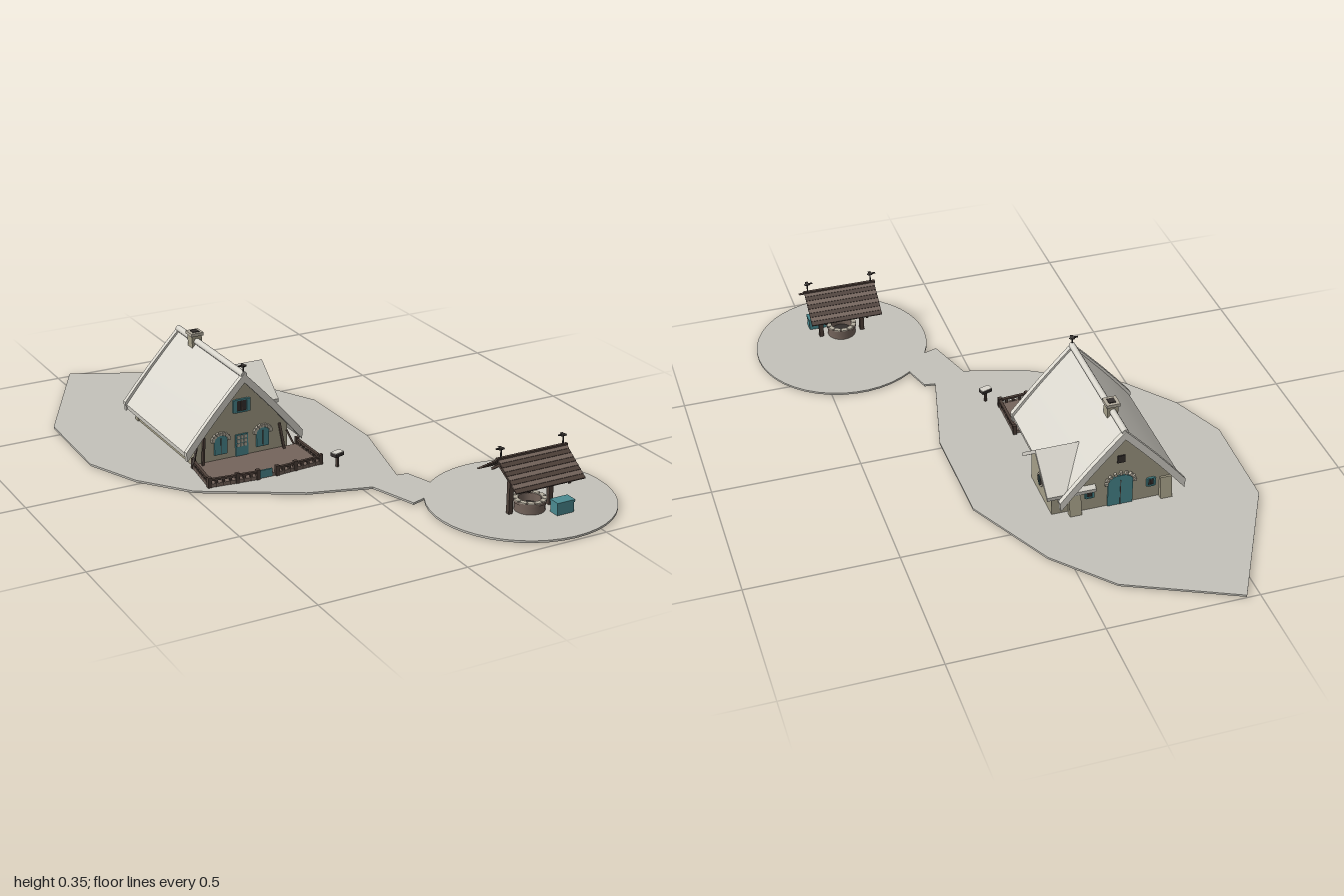
import * as THREE from 'three';
import { toCreasedNormals } from 'three/addons/utils/BufferGeometryUtils.js';

const paint = (name, color) => Object.assign(new THREE.MeshStandardMaterial({ color }), { name });
const M = {
  ground: paint('pale ground', 0xc4c2ba),
  thatch: paint('pale roof', 0xd9d6cd),
  wall: paint('plaster wall', 0xa59f88),
  stone: paint('trim stone', 0xb5ae9f),
  teal: paint('teal paint', 0x4a8a90),
  deck: paint('deck brown', 0x74645b),
  wood: paint('dark timber', 0x4e4039),
  dark: paint('dark glass', 0x35302e),
};

function add(parent, name, geo, mat, x = 0, y = 0, z = 0) {
  const mesh = new THREE.Mesh(geo, mat);
  mesh.name = name;
  mesh.position.set(x, y, z);
  parent.add(mesh);
  return mesh;
}
const box = (p, name, mat, w, h, d, x, y, z) => add(p, name, new THREE.BoxGeometry(w, h, d), mat, x, y, z);
const group = (p, name, x = 0, y = 0, z = 0) => {
  const g = new THREE.Group();
  g.name = name;
  g.position.set(x, y, z);
  p.add(g);
  return g;
};
// Square beam between two points
function beam(p, name, mat, a, b, w, h = w) {
  const A = new THREE.Vector3(...a), B = new THREE.Vector3(...b);
  const m = box(p, name, mat, w, h, A.distanceTo(B), 0, 0, 0);
  m.position.copy(A).add(B).multiplyScalar(0.5);
  m.quaternion.setFromUnitVectors(new THREE.Vector3(0, 0, 1), B.sub(A).normalize());
  return m;
}
const extrude = (pts, depth) => new THREE.ExtrudeGeometry(
  new THREE.Shape(pts.map(([x, y]) => new THREE.Vector2(x, y))), { depth, bevelEnabled: false });
// Mirrored roof section, given from ridge to eave
function chevron(half, t, depth) {
  const left = half.slice(1).reverse().map(([x, y]) => [-x, y]);
  const outer = [...left, ...half];
  const inner = outer.map(([x, y]) => [x * 0.985, y - t]).reverse();
  return toCreasedNormals(extrude([...outer, ...inner], depth), 0.5);
}
// Arched panel standing on y = 0
function arch(w, h, depth) {
  const s = new THREE.Shape(), r = w / 2;
  s.moveTo(-r, 0);
  s.lineTo(r, 0);
  s.lineTo(r, h - r * 0.6);
  s.absellipse(0, h - r * 0.6, r, r * 0.6, 0, Math.PI, false);
  s.lineTo(-r, 0);
  return new THREE.ExtrudeGeometry(s, { depth, bevelEnabled: false, curveSegments: 10 });
}
// Teal arched opening with a ring of stones, facing +z
function archedOpening(p, name, x, y, w, h) {
  const g = group(p, name, x, y, 0);
  add(g, 'archedPanel', arch(w, h, 0.006), M.teal);
  box(g, 'panelSeam', M.wood, 0.002, h * 0.85, 0.008, 0, h * 0.43, 0.004);
  for (let i = 0; i <= 8; i++) {
    const a = Math.PI * i / 8, r = w / 2 + 0.006;
    const s = box(g, 'archStone', M.stone, 0.011, 0.009, 0.012, Math.cos(a) * r, h - w * 0.3 + Math.sin(a) * r * 0.72, 0.004);
    s.rotation.z = a;
  }
}
function shutteredWindow(p, name, x, y, w, h) {
  const g = group(p, name, x, y, 0);
  box(g, 'pane', M.dark, w, h, 0.006, 0, 0, 0.002);
  for (const s of [-1, 1]) {
    box(g, 'shutter', M.teal, w * 0.28, h * 1.05, 0.009, s * w * 0.56, 0, 0.004);
    box(g, 'frame', M.teal, w, 0.005, 0.009, 0, s * h * 0.5, 0.004);
  }
  box(g, 'mullion', M.wood, 0.003, h, 0.009, 0, 0, 0.003);
}
function bird(p, x, y, z) {
  const g = group(p, 'birdFinial', x, y, z);
  add(g, 'finialRod', new THREE.CylinderGeometry(0.0025, 0.0025, 0.03, 6), M.dark, 0, 0.015, 0);
  add(g, 'birdBody', new THREE.SphereGeometry(0.006, 8, 6), M.dark, 0, 0.031, 0).scale.set(2, 0.8, 0.9);
  box(g, 'birdWings', M.dark, 0.01, 0.002, 0.024, 0, 0.034, 0);
  box(g, 'birdTail', M.dark, 0.014, 0.003, 0.006, -0.012, 0.033, 0);
}

function buildGround(root) {
  const pts = [[-0.455, -1], [-0.1, -0.835], [0.065, -0.65], [0.217, -0.35], [0.222, 0.02], [0.143, 0.35], [0.18, 0.355]];
  for (let i = 0; i <= 40; i++) {
    const a = -2.227 + (3.64 + 2.227) * i / 40;
    pts.push([0.395 + 0.305 * Math.cos(a), 0.69 + 0.305 * Math.sin(a)]);
  }
  pts.push([0.08, 0.56], [0.027, 0.395], [-0.18, 0.335], [-0.49, 0.155], [-0.62, -0.01], [-0.7, -0.2], [-0.69, -0.555]);
  const geo = extrude(pts.map(([x, z]) => [x, -z]), 0.007).rotateX(-Math.PI / 2);
  add(root, 'ground', geo, M.ground, 0, 0.003, 0);
}

function buildHouse(root) {
  const h = group(root, 'house', -0.24, 0, 0);
  const slope = [[0, 0.31], [0.055, 0.251], [0.11, 0.19], [0.16, 0.131], [0.208, 0.072]];
  // Walls
  const gable = [[-0.17, 0], [0.17, 0], [0.17, 0.105], [0, 0.297], [-0.17, 0.105]];
  add(h, 'frontWall', extrude(gable, 0.015), M.wall, 0, 0, -0.025);
  add(h, 'backWall', extrude(gable, 0.015), M.wall, 0, 0, -0.465);
  for (const s of [-1, 1]) box(h, 'sideWall', M.wall, 0.014, 0.105, 0.43, s * 0.163, 0.0525, -0.238);
  // Roof, raised verges and ridge
  add(h, 'mainRoof', chevron(slope, 0.018, 0.5), M.thatch, 0, 0, -0.487);
  const verge = slope.map(([x, y]) => [x * 1.025, y + 0.009]);
  for (const z of [-0.497, 0.003]) add(h, 'roofVerge', chevron(verge, 0.032, 0.017), M.thatch, 0, 0, z);
  add(h, 'ridgeRoll', new THREE.CylinderGeometry(0.011, 0.011, 0.51, 10).rotateX(Math.PI / 2), M.thatch, 0, 0.313, -0.238);
  bird(h, 0, 0.312, 0.012);
  // Chimney
  box(h, 'chimney', M.wall, 0.036, 0.07, 0.036, 0, 0.3, -0.36);
  box(h, 'chimneyCap', M.stone, 0.046, 0.011, 0.046, 0, 0.338, -0.36);
  box(h, 'chimneyFlue', M.dark, 0.024, 0.004, 0.024, 0, 0.344, -0.36);
  // Front openings
  const f = group(h, 'frontOpenings', 0, 0, -0.011);
  for (const s of [-1, 1]) archedOpening(f, 'archedWindow', s * 0.077, 0.04, 0.046, 0.066);
  box(f, 'frontDoor', M.teal, 0.046, 0.085, 0.006, 0, 0.055, 0.002);
  for (let i = 0; i < 3; i++) for (let j = 0; j < 3; j++)
    box(f, 'doorPane', M.stone, 0.01, 0.011, 0.008, (i - 1) * 0.013, 0.06 + j * 0.014, 0.003);
  shutteredWindow(f, 'atticWindow', 0, 0.199, 0.044, 0.042);
  // Slanted front props
  for (const s of [-1, 1]) {
    beam(h, 'frontProp', M.wood, [s * 0.15, 0.015, 0.008], [s * 0.138, 0.11, -0.005], 0.008);
    beam(h, 'frontBrace', M.wood, [s * 0.185, 0.03, 0.008], [s * 0.165, 0.08, -0.005], 0.006);
  }
  // Back openings and buttresses
  const b = group(h, 'backOpenings', 0, 0, -0.464);
  b.rotation.y = Math.PI;
  archedOpening(b, 'backDoor', 0, 0.01, 0.085, 0.115);
  for (const s of [-1, 1]) {
    shutteredWindow(b, 'backWindow', s * 0.105, 0.075, 0.022, 0.028);
    const side = extrude([[0, 0], [0.024, 0], [0.008, 0.085], [0, 0.085]], 0.04).rotateY(-Math.PI / 2);
    add(b, 'buttress', side, M.wall, s * 0.155 + 0.02, 0, 0);
  }
  box(b, 'backAtticWindow', M.dark, 0.026, 0.028, 0.006, 0, 0.19, 0.002);
  // Side wing
  const w = group(h, 'sideWing', 0, 0, -0.352);
  const wing = [[-0.103, 0], [0.103, 0], [0.103, 0.105], [0, 0.186], [-0.103, 0.105]];
  add(w, 'wingGable', extrude(wing, 0.015).rotateY(Math.PI / 2), M.wall, 0.212, 0, 0);
  for (const s of [-1, 1]) box(w, 'wingWall', M.wall, 0.06, 0.105, 0.012, 0.19, 0.0525, s * 0.097);
  add(w, 'wingRoof', chevron([[0, 0.2], [0.126, 0.098]], 0.014, 0.165).rotateY(Math.PI / 2), M.thatch, 0.085, 0, 0);
  const round = (r, d, mat, n) => add(w, n, new THREE.CylinderGeometry(r, r, d, 16).rotateZ(Math.PI / 2), mat, 0.228, 0.07, -0.005 + 0.012);
  round(0.024, 0.006, M.stone, 'roundWindowFrame');
  round(0.018, 0.009, M.dark, 'roundWindow');
  box(w, 'roundWindowBar', M.teal, 0.012, 0.036, 0.003, 0.228, 0.07, 0.007);
}

function buildDeck(root) {
  const g = group(root, 'deck');
  const front = [[-0.435, 0.152], [-0.34, 0.162], [-0.27, 0.168], [-0.2, 0.168], [-0.13, 0.162], [-0.033, 0.155]];
  const outline = [[-0.415, -0.01], ...front, [-0.033, -0.01]];
  add(g, 'deckFloor', extrude(outline.map(([x, z]) => [x, -z]), 0.012).rotateX(-Math.PI / 2), M.deck, 0, 0.009, 0);
  // Low railing, open at the middle of the front
  for (let i = 0; i < outline.length - 1; i++) {
    const [ax, az] = outline[i], [bx, bz] = outline[i + 1];
    if (i === 3) continue;
    beam(g, 'rail', M.wood, [ax, 0.036, az], [bx, 0.036, bz], 0.01, 0.007);
    beam(g, 'lowerRail', M.deck, [ax, 0.016, az], [bx, 0.016, bz], 0.008, 0.012);
    const n = Math.max(3, Math.round(Math.hypot(bx - ax, bz - az) / 0.025));
    for (let k = 0; k <= n; k++) {
      const t = k / n, big = k === 0 || k === n;
      box(g, 'railPost', M.wood, big ? 0.013 : 0.008, big ? 0.045 : 0.036, big ? 0.013 : 0.008,
        ax + (bx - ax) * t, big ? 0.0225 : 0.018, az + (bz - az) * t);
    }
  }
  box(g, 'gate', M.teal, 0.045, 0.026, 0.006, -0.24, 0.025, 0.166);
  // Letter box beside the path
  const l = group(g, 'letterBox', 0.005, 0, 0.2);
  l.rotation.y = 0.3;
  box(l, 'letterBoxPost', M.wood, 0.008, 0.05, 0.008, 0, 0.025, 0);
  box(l, 'letterBoxBody', M.dark, 0.038, 0.012, 0.024, 0, 0.055, 0);
  box(l, 'letterBoxLid', M.thatch, 0.038, 0.002, 0.024, 0, 0.062, 0);
}

function buildWell(root) {
  const g = group(root, 'well', 0.377, 0, 0.765);
  // Stone ring and water
  const ring = [[0.036, 0], [0.05, 0], [0.05, 0.038], [0.053, 0.038], [0.053, 0.047], [0.036, 0.047], [0.036, 0]];
  const lathe = new THREE.LatheGeometry(ring.map(([x, y]) => new THREE.Vector2(x, y)), 20);
  add(g, 'wellRing', toCreasedNormals(lathe, 0.6), M.deck, 0, 0, 0);
  add(g, 'wellWater', new THREE.CylinderGeometry(0.037, 0.037, 0.004, 20), M.dark, 0, 0.018, 0);
  for (let i = 0; i < 12; i++) {
    const a = i / 12 * Math.PI * 2;
    const s = box(g, 'rimStone', M.stone, 0.02, 0.004, 0.016, Math.sin(a) * 0.045, 0.048, Math.cos(a) * 0.045);
    s.rotation.y = a;
  }
  box(g, 'chest', M.teal, 0.062, 0.046, 0.038, 0.076, 0.025, 0.067);
  box(g, 'chestLid', M.teal, 0.066, 0.008, 0.042, 0.076, 0.049, 0.067);
  // Posts and braces
  for (const x of [-0.075, 0.075]) {
    box(g, 'wellPost', M.wood, 0.015, 0.195, 0.015, x, 0.0975, 0);
    for (const s of [-1, 1]) {
      beam(g, 'wellBrace', M.wood, [x, 0.115, 0], [x, 0.15, s * 0.065], 0.008);
      beam(g, 'rafter', M.wood, [x, 0.192, 0], [x, 0.122, s * 0.102], 0.008);
    }
  }
  add(g, 'windlass', new THREE.CylinderGeometry(0.006, 0.006, 0.15, 8).rotateZ(Math.PI / 2), M.wood, 0, 0.085, 0);
  // Lapped roof boards
  for (const s of [-1, 1]) for (let i = 0; i < 8; i++) {
    const t = (i + 0.5) / 8;
    const b = box(g, 'roofBoard', i % 2 ? M.wood : M.deck, 0.255, 0.005, 0.019, 0, 0.202 - t * 0.072, s * t * 0.107);
    b.rotation.x = s * 0.48;
  }
  box(g, 'wellRidge', M.wood, 0.262, 0.008, 0.01, 0, 0.203, 0);
  for (const x of [-0.115, 0.115]) bird(g, x, 0.205, 0);
}

export function createModel() {
  const root = new THREE.Group();
  root.name = 'cottageWithWell';
  buildGround(root);
  buildHouse(root);
  buildDeck(root);
  buildWell(root);
  return root;
}
